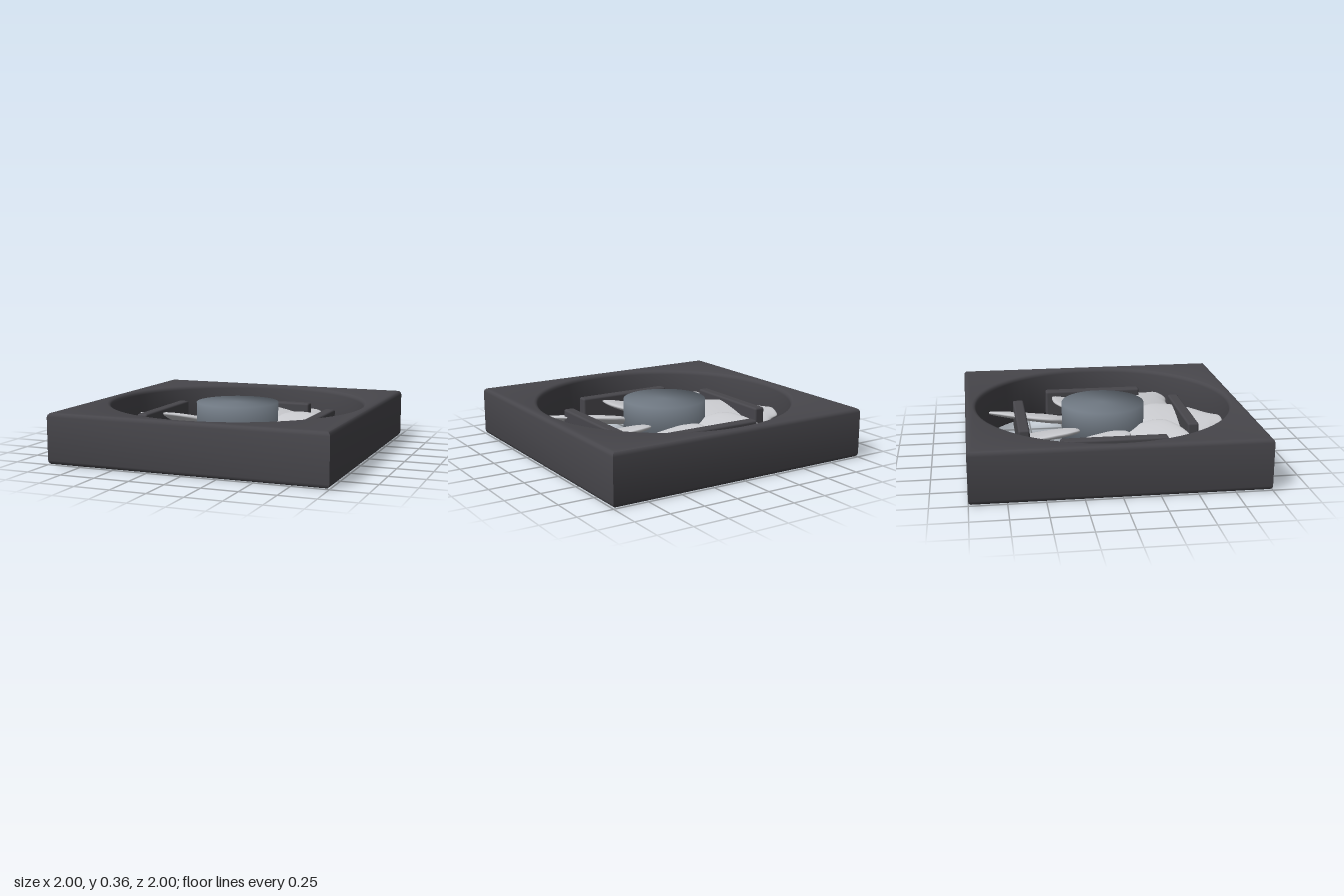
import * as THREE from 'three';
import { toCreasedNormals } from 'three/addons/utils/BufferGeometryUtils.js';
import { RoundedBoxGeometry } from 'three/addons/geometries/RoundedBoxGeometry.js';

const BLADES = 7;

function material(name, color) {
  const m = new THREE.MeshStandardMaterial({ color });
  m.name = name;
  return m;
}

// Square housing with a round duct and softened edges
function frameGeometry() {
  const bevel = 0.03, s = 1 - bevel;
  const shape = new THREE.Shape([[-s, -s], [s, -s], [s, s], [-s, s]].map(p => new THREE.Vector2(...p)));
  const hole = new THREE.Path();
  hole.absarc(0, 0, 0.92 + bevel, 0, Math.PI * 2, true);
  shape.holes.push(hole);
  const g = new THREE.ExtrudeGeometry(shape, {
    depth: 0.36 - 2 * bevel, bevelThickness: bevel, bevelSize: bevel, bevelSegments: 3, curveSegments: 48,
  });
  g.rotateX(-Math.PI / 2).translate(0, bevel, 0);
  return toCreasedNormals(g, 0.6);
}

// Hub: a cylinder whose normals run smoothly over the rim
function hubGeometry() {
  const g = new THREE.CylinderGeometry(0.3, 0.3, 0.35, 64);
  const p = g.attributes.position, n = g.attributes.normal, v = new THREE.Vector3();
  for (let i = 0; i < p.count; i++) {
    v.set(p.getX(i) / 0.3, Math.sign(p.getY(i)), p.getZ(i) / 0.3).normalize();
    n.setXYZ(i, v.x, v.y, v.z);
  }
  return g;
}

// Blade: oval cross-sections along the radius, pitched sideways
function bladeGeometry() {
  // radius, left edge, right edge, half thickness
  const stations = [
    [0.25, 0, 0, 0], [0.255, -0.06, 0.06, 0.015], [0.28, -0.14, 0.13, 0.025], [0.33, -0.22, 0.2, 0.03],
    [0.42, -0.3, 0.235, 0.033], [0.52, -0.33, 0.222, 0.033], [0.58, -0.31, 0.205, 0.03],
    [0.68, -0.215, 0.165, 0.028], [0.78, -0.145, 0.1, 0.024], [0.83, -0.095, 0.075, 0.02],
    [0.892, -0.06, 0.05, 0.014], [0.9, -0.005, -0.005, 0],
  ];
  const edges = new THREE.CatmullRomCurve3(stations.map(s => new THREE.Vector3(s[1], s[2], s[0])));
  const steps = 3, rows = (stations.length - 1) * steps, ring = 24;
  const pos = [], index = [];
  for (let i = 0; i <= rows; i++) {
    const e = edges.getPoint(i / rows);
    const k = Math.min(Math.floor(i / steps), stations.length - 2);
    const t = THREE.MathUtils.lerp(stations[k][3], stations[k + 1][3], i / steps - k);
    for (let j = 0; j < ring; j++) {
      const a = j / ring * Math.PI * 2;
      const x = (e.x + e.y) / 2 + (e.y - e.x) / 2 * Math.cos(a);
      pos.push(x, 0.3 * x + t * Math.sin(a), e.z);
      if (i < rows) {
        const j2 = (j + 1) % ring, A = i * ring + j, B = i * ring + j2;
        index.push(A, B, B + ring, A, B + ring, A + ring);
      }
    }
  }
  const g = new THREE.BufferGeometry();
  g.setAttribute('position', new THREE.Float32BufferAttribute(pos, 3));
  g.setIndex(index);
  g.computeVertexNormals();
  return g;
}

export function createModel() {
  const model = new THREE.Group();
  model.name = 'coolingFan';
  const dark = material('charcoal', 0x47464b);
  const slate = material('slate', 0x6e7781);
  const pale = material('paleGrey', 0xcbccd0);

  const add = (name, geometry, mat, y = 0) => {
    const mesh = new THREE.Mesh(geometry, mat);
    mesh.name = name;
    mesh.position.y = y;
    model.add(mesh);
    return mesh;
  };

  add('frame', frameGeometry(), dark);
  add('hub', hubGeometry(), slate, 0.18);

  // Seven overlapping blades
  const blade = bladeGeometry();
  for (let i = 0; i < BLADES; i++) {
    add('blade' + (i + 1), blade, pale, 0.18).rotation.y = i / BLADES * Math.PI * 2;
  }

  // Four upright bars around the hub
  const bar = new RoundedBoxGeometry(0.74, 0.2, 0.08, 3, 0.015).translate(0, 0, 0.6);
  for (let i = 0; i < 4; i++) {
    add('bar' + (i + 1), bar, dark, 0.18).rotation.y = i * Math.PI / 2;
  }
  return model;
}
